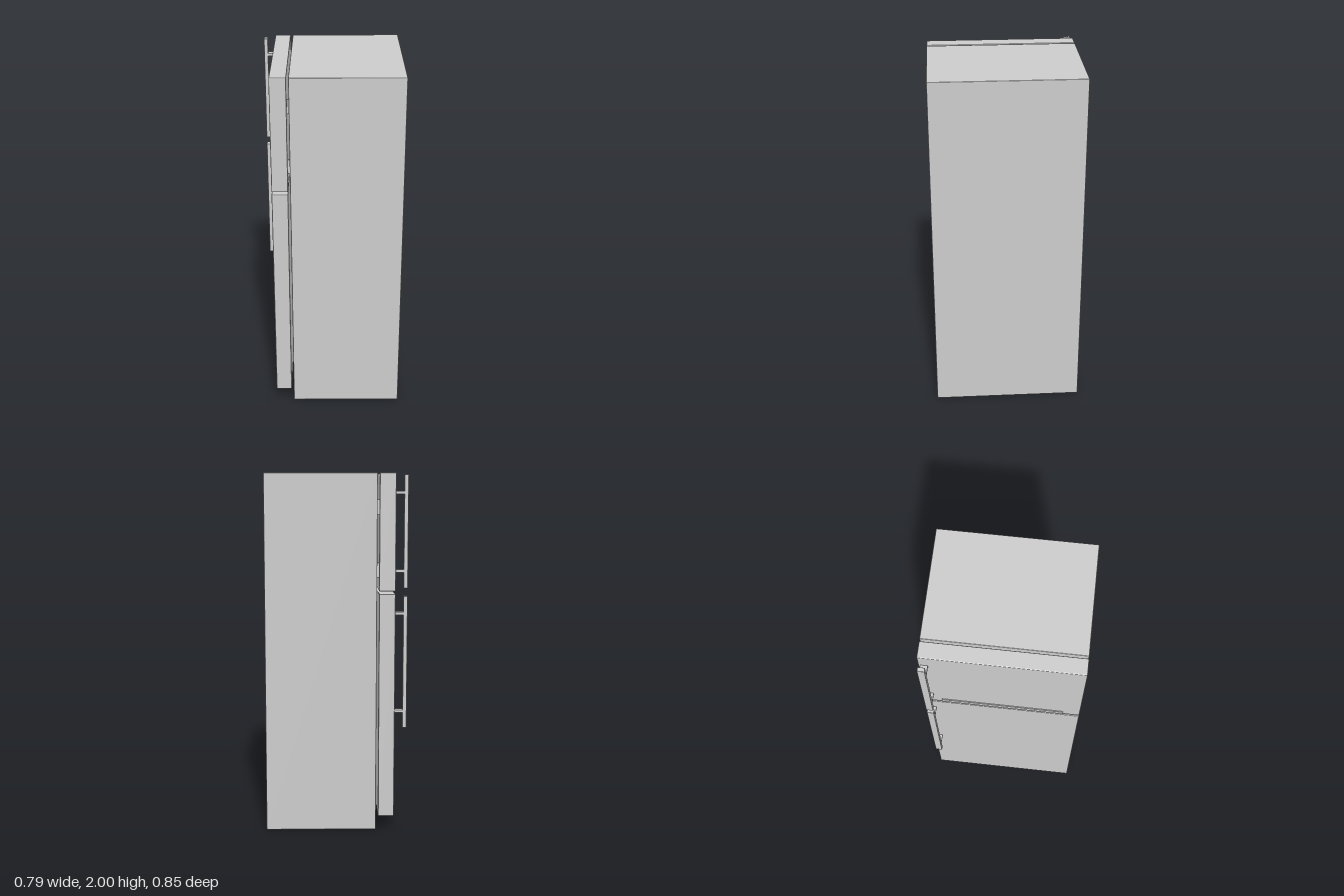
import * as THREE from 'three';
import { RoundedBoxGeometry } from 'three/addons/geometries/RoundedBoxGeometry.js';

const material = new THREE.MeshStandardMaterial({ color: 0xcccccc });

// Box given by its extents on each axis; a radius softens the edges
function block(name, [x0, x1], [y0, y1], [z0, z1], radius = 0) {
  const size = [x1 - x0, y1 - y0, z1 - z0];
  const geometry = radius
    ? new RoundedBoxGeometry(...size, 2, radius)
    : new THREE.BoxGeometry(...size);
  const mesh = new THREE.Mesh(geometry, material);
  mesh.name = name;
  mesh.position.set((x0 + x1) / 2, (y0 + y1) / 2, (z0 + z1) / 2);
  return mesh;
}

// Vertical bar held off the door by two flat posts
function handle(name, [y0, y1], postHeights) {
  const group = new THREE.Group();
  group.name = name;
  const z = [-0.414, -0.375];
  group.add(block('handleBar', [-0.395, -0.372], [y0, y1], z, 0.003));
  for (const y of postHeights) {
    group.add(block('handlePost', [-0.374, -0.326], [y - 0.008, y + 0.008], z));
  }
  return group;
}

export function createModel() {
  const model = new THREE.Group();
  model.name = 'refrigerator';
  const depth = [-0.424, 0.424];
  const doorX = [-0.328, -0.238];

  // Cabinet and the two doors, which open towards -x
  model.add(block('cabinet', [-0.226, 0.393], [0, 2], depth, 0.004));
  model.add(block('freezerDoor', doorX, [1.356, 2], depth, 0.005));
  model.add(block('fridgeDoor', doorX, [0.078, 1.341], depth, 0.005));

  // Handles
  model.add(handle('freezerHandle', [1.373, 1.99], [1.893, 1.468]));
  model.add(handle('fridgeHandle', [0.588, 1.33], [1.234, 0.683]));

  // Thin trim strip along the bottom of the freezer door
  model.add(block('trimStrip', [-0.333, -0.326], [1.367, 1.398], [-0.334, 0.333]));

  // Small spacers between the freezer door and the cabinet
  for (const y of [1.47, 1.815]) {
    for (const z of [-0.362, 0.335]) {
      model.add(block('doorSpacer', [-0.24, -0.224], [y - 0.04, y + 0.04], [z - 0.004, z + 0.004]));
    }
  }
  return model;
}
